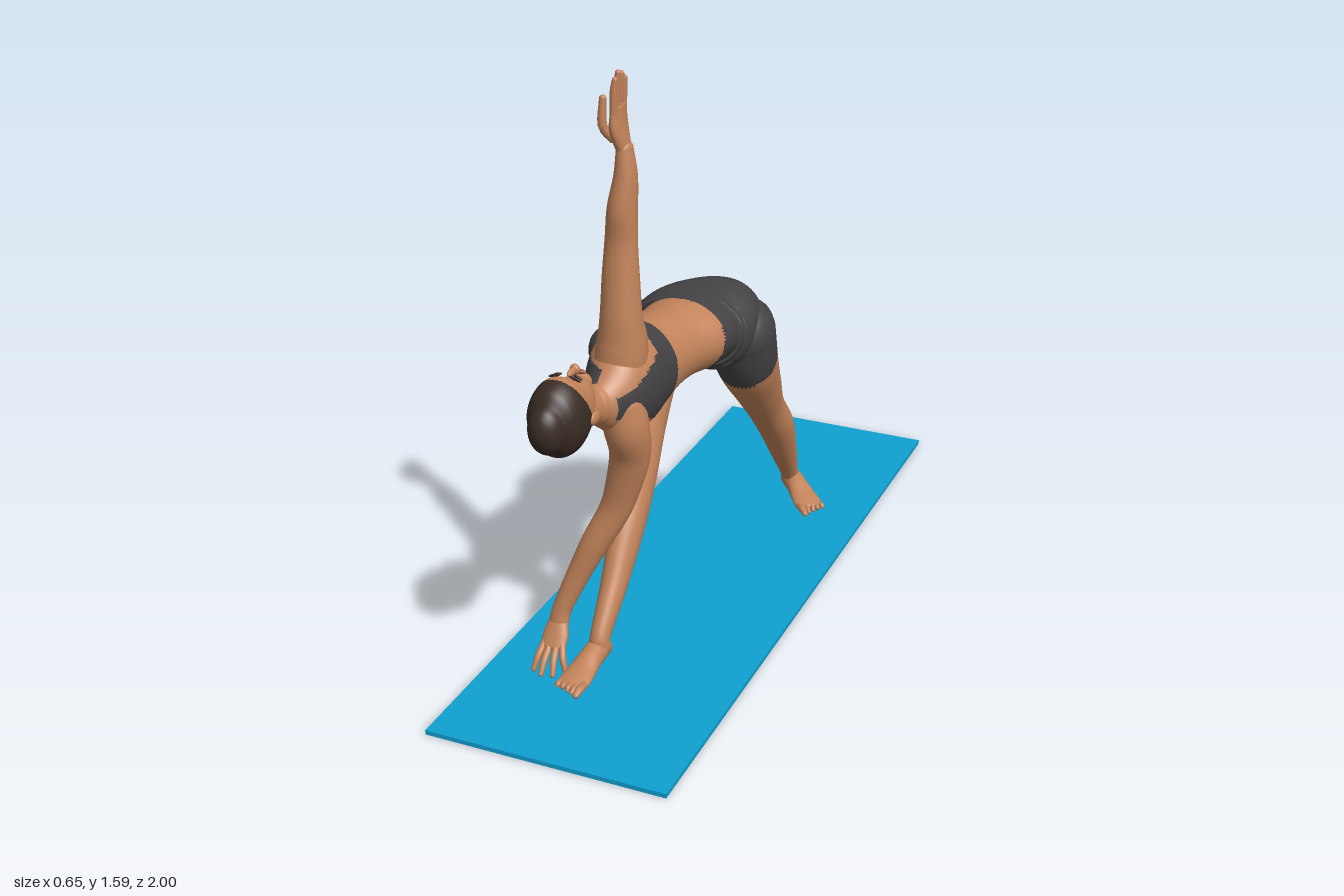
import * as THREE from 'three';

const flat = (name, color) => {
  const m = new THREE.MeshStandardMaterial({ color });
  m.name = name;
  return m;
};
const skin = flat('skin', 0xc2835a);
const fabric = flat('charcoal fabric', 0x444244);
const hair = flat('dark hair', 0x3a2c25);
const lips = flat('lips', 0x9c5844);
const mat = flat('blue mat', 0x0fa0d0);

const X = new THREE.Vector3(1, 0, 0), Y = new THREE.Vector3(0, 1, 0);

// Smooth tube with elliptical sections and rounded ends.
// stations: [x, y, z, a, b]; b is the radius towards "up", a the radius across it.
// paint(point) may pick a material for each triangle.
function loft(name, stations, up, paint = () => skin, segs = 32, steps = 10) {
  const centre = new THREE.CatmullRomCurve3(stations.map(s => new THREE.Vector3(s[0], s[1], s[2])), false, 'catmullrom');
  const radii = new THREE.CatmullRomCurve3(stations.map(s => new THREE.Vector3(s[3], s[4], 0)), false, 'catmullrom');
  const rings = [], n = (stations.length - 1) * steps, caps = 7;
  const ring = (u, cap, side) => {
    const t = centre.getTangent(u), r = radii.getPoint(u), ang = cap * Math.PI / 2;
    const c = centre.getPoint(u).addScaledVector(t, side * Math.min(r.x, r.y) * Math.sin(ang));
    const k = Math.max(Math.cos(ang), 1e-4);
    rings.push({ c, t, a: r.x * k, b: r.y * k });
  };
  for (let i = caps; i > 0; i--) ring(0, i / caps, -1);
  for (let i = 0; i <= n; i++) ring(i / n, 0, 0);
  for (let i = 1; i <= caps; i++) ring(1, i / caps, 1);

  const pts = [];
  for (const { c, t, a, b } of rings) {
    const s = new THREE.Vector3().crossVectors(t, up).normalize();
    const v = new THREE.Vector3().crossVectors(s, t);
    for (let j = 0; j < segs; j++) {
      const f = j / segs * Math.PI * 2;
      pts.push(c.clone().addScaledVector(s, a * Math.cos(f)).addScaledVector(v, b * Math.sin(f)));
    }
  }
  const buckets = new Map();
  const tri = (...ids) => {
    const mid = new THREE.Vector3();
    ids.forEach(i => mid.addScaledVector(pts[i], 1 / 3));
    const m = paint(mid);
    if (!buckets.has(m)) buckets.set(m, []);
    buckets.get(m).push(...ids);
  };
  for (let i = 0; i < rings.length - 1; i++) for (let j = 0; j < segs; j++) {
    const p = i * segs + j, q = i * segs + (j + 1) % segs;
    tri(p, p + segs, q);
    tri(q, p + segs, q + segs);
  }
  const g = new THREE.BufferGeometry().setFromPoints(pts);
  const index = [], mats = [...buckets.keys()];
  mats.forEach((m, i) => {
    g.addGroup(index.length, buckets.get(m).length, i);
    for (const id of buckets.get(m)) index.push(id);
  });
  g.setIndex(index);
  g.computeVertexNormals();
  const mesh = new THREE.Mesh(g, mats.length > 1 ? mats : mats[0]);
  mesh.name = name;
  return mesh;
}

function blob(name, material, pos, size, rotZ = 0) {
  const mesh = new THREE.Mesh(new THREE.SphereGeometry(1, 24, 16), material);
  mesh.name = name;
  mesh.position.set(...pos);
  mesh.scale.set(...size);
  mesh.rotation.z = rotZ;
  return mesh;
}

// Finger or toe through a bent middle point
const digit = (name, a, m, b, r) =>
  loft(name, [[...a, r, r], [...m, r, r], [...b, r * 0.75, r * 0.75]], X, undefined, 10, 4);

// Foot pointing along +z from its heel; inner = side of the big toe
function foot(name, x, z, turn, inner) {
  const g = new THREE.Group();
  g.name = name;
  g.add(loft('footSole', [
    [0, 0.036, 0.02, 0.024, 0.024], [0, 0.045, 0.05, 0.03, 0.033], [0, 0.042, 0.09, 0.032, 0.03],
    [0, 0.033, 0.135, 0.038, 0.021], [0, 0.027, 0.175, 0.042, 0.015], [0, 0.024, 0.195, 0.038, 0.011],
  ], Y));
  for (let i = 0; i < 5; i++) {
    const tx = inner * (0.03 - i * 0.0158), r = i ? 0.0075 : 0.011, end = 0.228 - i * 0.006;
    g.add(digit('toe', [tx, 0.026, 0.185], [tx, 0.026, 0.208], [tx, 0.021, end], r));
  }
  g.position.set(x, 0, z);
  g.rotation.y = turn;
  return g;
}

// Shorts below the slanted waist line, cropped top with a narrow back and two front straps
function paintBody(p) {
  if (p.z < 0.155 + (0.885 - p.y) * 0.17) return fabric;
  if (p.z < 0.36) return skin;
  const off = Math.abs(p.y - 0.775);
  if (p.z < 0.435) return fabric;
  if (p.x < -0.03) return p.z < 0.46 || (p.z < 0.6 && off > 0.045 && off < 0.085) ? fabric : skin;
  return p.z < 0.6 && off < 0.03 + Math.max(0, 0.58 - p.z) * 0.42 ? fabric : skin;
}

export function createModel() {
  const model = new THREE.Group();
  model.name = 'yogaFigure';

  const yogaMat = new THREE.Mesh(new THREE.BoxGeometry(0.65, 0.012, 2), mat);
  yogaMat.name = 'yogaMat';
  yogaMat.position.y = 0.006;
  model.add(yogaMat);

  // Torso and hips, running forward along z
  model.add(loft('torso', [
    [0.09, 0.74, -0.085, 0.07, 0.075], [0.05, 0.765, -0.03, 0.13, 0.118], [0, 0.775, 0.04, 0.163, 0.116],
    [-0.008, 0.788, 0.1, 0.157, 0.105], [0, 0.793, 0.15, 0.132, 0.1], [-0.01, 0.795, 0.22, 0.114, 0.097],
    [-0.02, 0.795, 0.3, 0.107, 0.106], [-0.03, 0.787, 0.38, 0.106, 0.13], [-0.025, 0.783, 0.45, 0.1, 0.14],
    [-0.02, 0.78, 0.52, 0.084, 0.122], [-0.025, 0.78, 0.575, 0.062, 0.078], [-0.03, 0.783, 0.61, 0.045, 0.05],
  ], Y, paintBody, 72, 12));
  for (const y of [0.838, 0.725]) model.add(blob('bust', fabric, [-0.092, y, 0.405], [0.05, 0.06, 0.056]));

  // Legs with shorts down to a slanted hem
  model.add(loft('backLeg', [
    [0.09, 0.745, -0.03, 0.1, 0.095], [0.095, 0.64, -0.07, 0.088, 0.085], [0.09, 0.53, -0.16, 0.075, 0.067],
    [0.08, 0.42, -0.255, 0.059, 0.053], [0.077, 0.32, -0.345, 0.054, 0.053], [0.07, 0.2, -0.43, 0.042, 0.04],
    [0.06, 0.09, -0.51, 0.03, 0.027], [0.06, 0.055, -0.525, 0.03, 0.028],
  ], X, p => (-0.74 * p.y - 0.67 * p.z < -0.435 ? fabric : skin), 48, 12));
  model.add(loft('frontLeg', [
    [-0.1, 0.76, 0.07, 0.098, 0.09], [-0.11, 0.66, 0.125, 0.084, 0.08], [-0.1, 0.54, 0.2, 0.076, 0.066],
    [-0.08, 0.42, 0.285, 0.062, 0.055], [-0.07, 0.32, 0.36, 0.055, 0.047], [-0.065, 0.2, 0.45, 0.042, 0.036],
    [-0.065, 0.09, 0.54, 0.03, 0.027], [-0.065, 0.055, 0.55, 0.03, 0.028],
  ], X, p => (-0.84 * p.y + 0.54 * p.z < -0.497 ? fabric : skin), 48, 12));
  model.add(foot('backFoot', 0.03, -0.57, 0.74, -1));
  model.add(foot('frontFoot', -0.067, 0.505, -0.03, 1));

  // Raised arm and hand
  model.add(loft('raisedArm', [
    [-0.02, 0.82, 0.5, 0.062, 0.068], [-0.012, 0.9, 0.492, 0.064, 0.064], [-0.01, 0.98, 0.499, 0.05, 0.053],
    [-0.012, 1.08, 0.493, 0.042, 0.047], [-0.012, 1.17, 0.487, 0.036, 0.041], [-0.008, 1.25, 0.486, 0.04, 0.037],
    [0, 1.33, 0.482, 0.032, 0.029], [-0.002, 1.4, 0.48, 0.025, 0.02],
  ], X));
  model.add(loft('raisedPalm', [
    [-0.004, 1.4, 0.481, 0.024, 0.018], [-0.015, 1.45, 0.483, 0.038, 0.018], [-0.015, 1.5, 0.483, 0.036, 0.012],
  ], X));
  for (let i = 0; i < 4; i++) {
    const z = 0.457 + i * 0.0175, tip = [1.565, 1.579, 1.585, 1.572][i];
    model.add(digit('raisedFinger', [-0.015, 1.49, z], [-0.014, 1.54, z], [-0.01, tip, z], 0.0095));
  }
  model.add(digit('raisedThumb', [-0.025, 1.425, 0.495], [-0.043, 1.46, 0.512], [-0.042, 1.525, 0.51], 0.0115));

  // Lowered arm and spread hand
  model.add(loft('loweredArm', [
    [0, 0.76, 0.535, 0.058, 0.06], [0.015, 0.69, 0.53, 0.057, 0.058], [0.012, 0.61, 0.51, 0.047, 0.053],
    [-0.012, 0.51, 0.505, 0.04, 0.046], [-0.035, 0.44, 0.51, 0.036, 0.041], [-0.08, 0.35, 0.53, 0.036, 0.037],
    [-0.12, 0.26, 0.55, 0.03, 0.031], [-0.155, 0.17, 0.573, 0.024, 0.026], [-0.163, 0.13, 0.585, 0.02, 0.027],
  ], X));
  model.add(loft('loweredPalm', [
    [-0.163, 0.13, 0.585, 0.018, 0.026], [-0.163, 0.1, 0.605, 0.016, 0.035], [-0.162, 0.075, 0.625, 0.012, 0.034],
  ], X));
  [[-0.188, -0.198, 0.668], [-0.171, -0.17, 0.682], [-0.153, -0.14, 0.675], [-0.137, -0.115, 0.65]].forEach(([a, b, z]) =>
    model.add(digit('loweredFinger', [a, 0.08, 0.622], [(a + b) / 2, 0.052, (0.634 + z) / 2], [b, 0.021, z], 0.009)));
  model.add(digit('loweredThumb', [-0.18, 0.105, 0.595], [-0.2, 0.07, 0.59], [-0.204, 0.024, 0.61], 0.0105));

  // Neck and head, crown forward and face up
  model.add(loft('neck', [
    [-0.028, 0.78, 0.56, 0.052, 0.055], [-0.035, 0.785, 0.62, 0.044, 0.047], [-0.048, 0.8, 0.7, 0.048, 0.052],
  ], Y));
  model.add(loft('head', [
    [-0.05, 0.852, 0.638, 0.024, 0.024], [-0.05, 0.842, 0.66, 0.044, 0.046], [-0.05, 0.83, 0.69, 0.058, 0.067],
    [-0.05, 0.82, 0.72, 0.067, 0.09], [-0.05, 0.815, 0.76, 0.073, 0.101], [-0.05, 0.812, 0.8, 0.066, 0.09],
    [-0.05, 0.81, 0.825, 0.046, 0.064],
  ], Y, p => (p.z > 0.69 + Math.max(0, p.y - 0.74) * 0.47 ? hair : skin), 56, 12));
  model.add(blob('noseBridge', skin, [-0.05, 0.901, 0.69], [0.008, 0.01, 0.022]));
  model.add(blob('noseTip', skin, [-0.05, 0.902, 0.675], [0.013, 0.014, 0.01]));
  model.add(blob('mouth', lips, [-0.05, 0.887, 0.652], [0.019, 0.006, 0.007]));
  for (const s of [-1, 1]) {
    model.add(blob('eye', hair, [-0.05 + s * 0.027, 0.9, 0.712], [0.012, 0.004, 0.004], -s * 0.3));
    model.add(blob('eyebrow', hair, [-0.05 + s * 0.028, 0.903, 0.728], [0.016, 0.004, 0.0025], -s * 0.3));
    model.add(blob('ear', skin, [-0.05 + s * 0.068, 0.803, 0.712], [0.008, 0.016, 0.024]));
  }
  return model;
}
